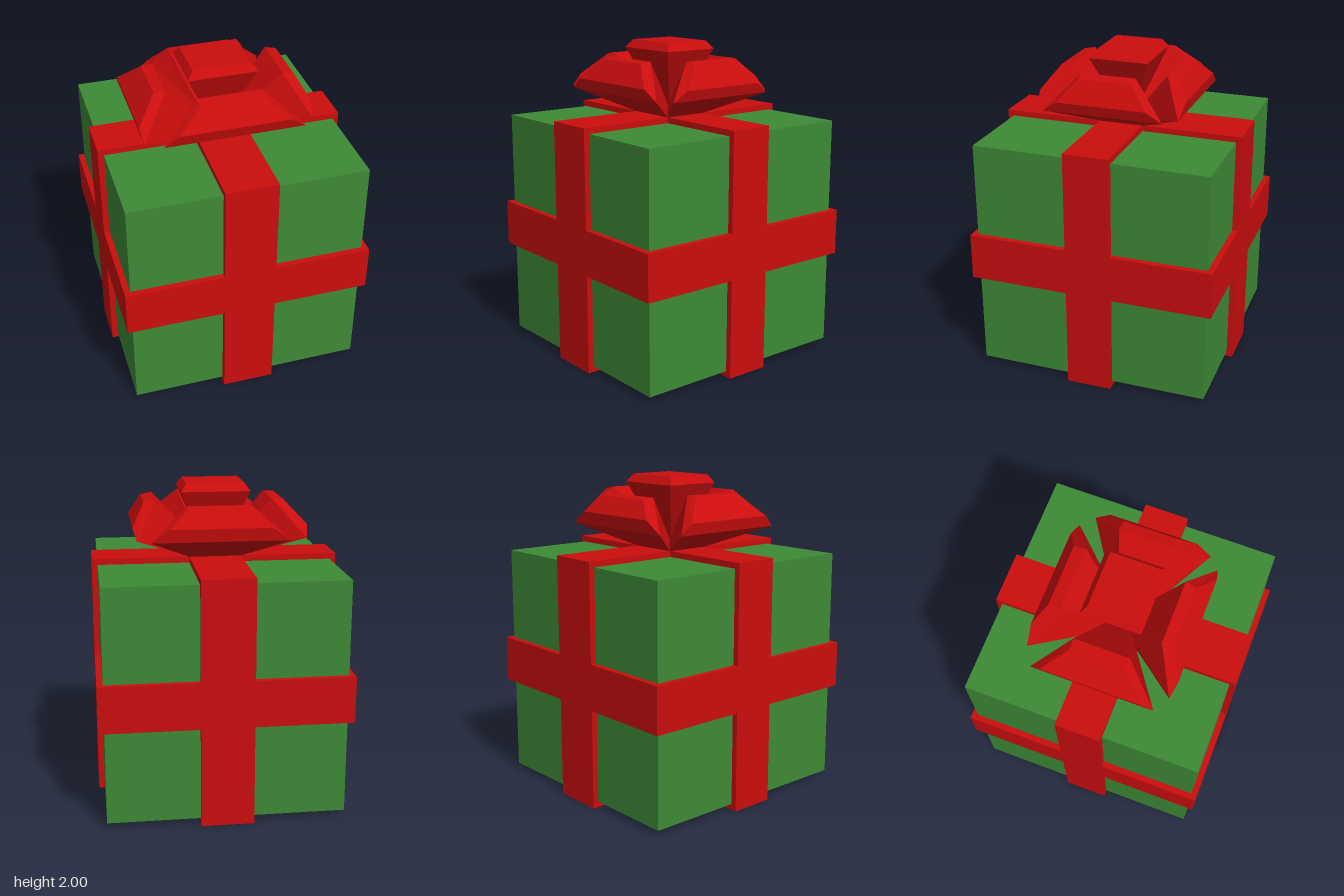
import * as THREE from 'three';

const red = new THREE.MeshStandardMaterial({ color: 0xcb0d0d });
red.name = 'ribbon red';
const green = new THREE.MeshStandardMaterial({ color: 0x3e8a36 });
green.name = 'paper green';

function box(name, material, w, h, d, y) {
  const mesh = new THREE.Mesh(new THREE.BoxGeometry(w, h, d), material);
  mesh.name = name;
  mesh.position.y = y;
  return mesh;
}

// Flat-faced solid through four-cornered sections, capped at both ends
function loft(sections) {
  const pos = [];
  const quad = (a, b, c, d) => pos.push(...a, ...b, ...c, ...a, ...c, ...d);
  for (let s = 0; s < sections.length - 1; s++) {
    const a = sections[s], b = sections[s + 1];
    for (let i = 0; i < 4; i++) {
      const j = (i + 1) % 4;
      quad(a[i], a[j], b[j], b[i]);
    }
  }
  quad(...[...sections[0]].reverse());
  quad(...sections[sections.length - 1]);
  const g = new THREE.BufferGeometry();
  g.setAttribute('position', new THREE.Float32BufferAttribute(pos, 3));
  g.computeVertexNormals();
  return g;
}

// Section of a loop that points along +z: lower and upper edge as [half width, y, z]
const loopSection = ([lw, ly, lz], [uw, uy, uz]) =>
  [[-lw, ly, lz], [lw, ly, lz], [uw, uy, uz], [-uw, uy, uz]];

// Level section of the knot
const knotSection = (w, d, y) => [[-w, y, d], [w, y, d], [w, y, -d], [-w, y, -d]];

export function createModel() {
  const model = new THREE.Group();
  model.name = 'giftBox';

  // Wrapped box
  model.add(box('box', green, 1.466, 1.466, 1.466, 0.77));

  // Ribbon bands: two upright, one around the middle
  const ribbon = new THREE.Group();
  ribbon.name = 'ribbon';
  ribbon.add(
    box('frontToBackBand', red, 0.324, 1.54, 1.54, 0.77),
    box('sideToSideBand', red, 1.54, 1.54, 0.282, 0.77),
    box('middleBand', red, 1.54, 0.29, 1.54, 0.775),
  );
  model.add(ribbon);

  // Bow: four flared loops around a knot
  const bow = new THREE.Group();
  bow.name = 'bow';
  const loops = [
    // name, turn, base reach and half width, rim, outer face (lower and upper edges)
    ['frontLoop', 0, [0.16, 0.14], [0.43, 1.69, 0.44], [0.2, 1.9, 0.305], [0.34, 1.76, 0.46], [0.19, 1.89, 0.375]],
    ['backLoop', Math.PI, [0.16, 0.14], [0.42, 1.69, 0.445], [0.2, 1.885, 0.31], [0.31, 1.77, 0.457], [0.195, 1.875, 0.385]],
    ['leftLoop', Math.PI / 2, [0.14, 0.16], [0.372, 1.69, 0.5], [0.17, 1.905, 0.375], [0.28, 1.755, 0.52], [0.165, 1.89, 0.445]],
    ['rightLoop', -Math.PI / 2, [0.14, 0.16], [0.38, 1.69, 0.53], [0.17, 1.9, 0.35], [0.31, 1.76, 0.545], [0.165, 1.897, 0.42]],
  ];
  for (const [name, turn, [baseW, baseR], rimLow, rimHigh, faceLow, faceHigh] of loops) {
    const mesh = new THREE.Mesh(loft([
      loopSection([baseW, 1.538, baseR], [0.05, 1.538, 0.02]),
      loopSection(rimLow, rimHigh),
      loopSection(faceLow, faceHigh),
    ]), red);
    mesh.name = name;
    mesh.rotation.y = turn;
    bow.add(mesh);
  }
  const knot = new THREE.Mesh(loft([
    knotSection(0.03, 0.02, 1.538),
    knotSection(0.215, 0.185, 1.95),
    knotSection(0.18, 0.15, 2.0),
  ]), red);
  knot.name = 'knot';
  bow.add(knot);
  model.add(bow);

  return model;
}
